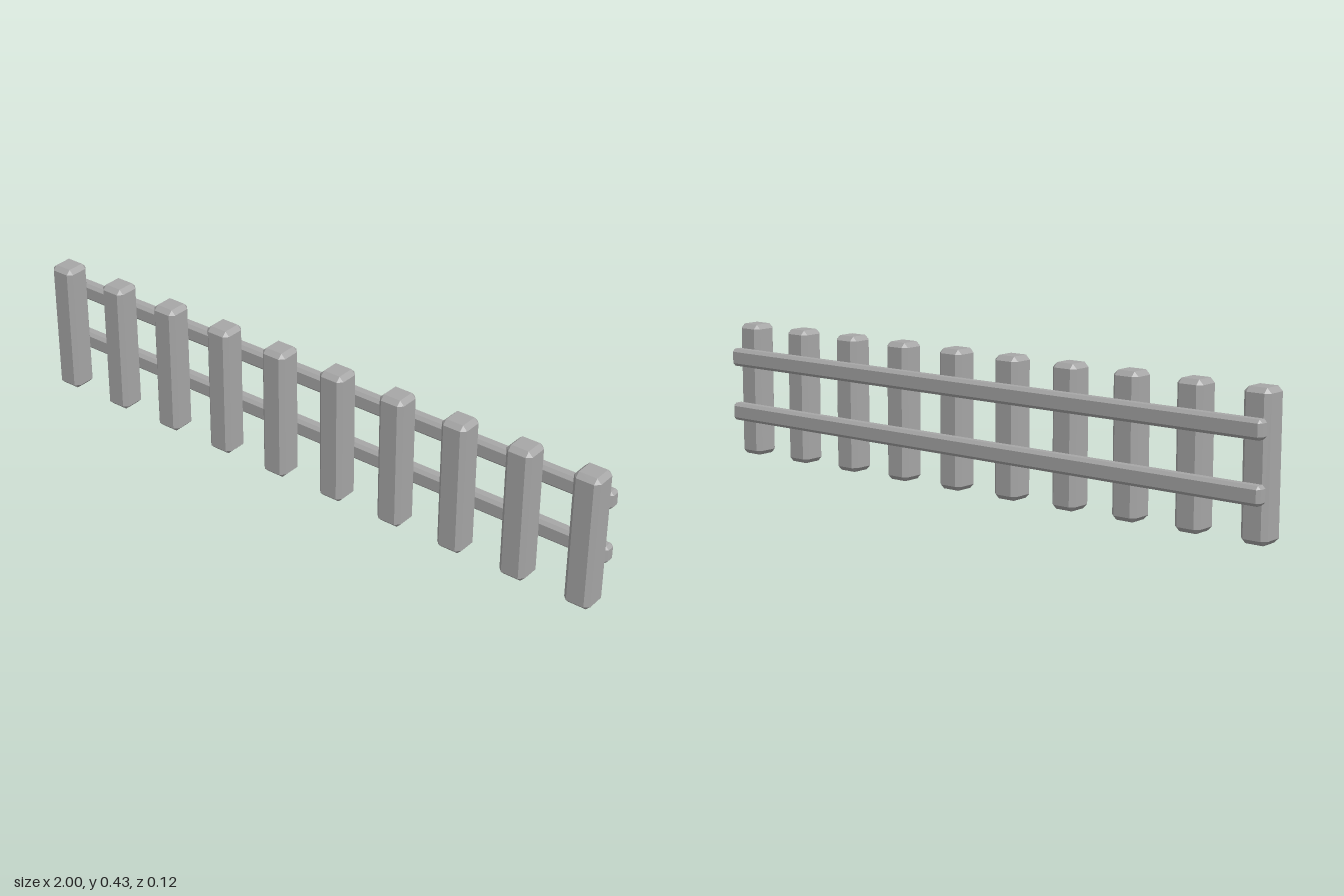
import * as THREE from 'three';
import { ConvexGeometry } from 'three/addons/geometries/ConvexGeometry.js';

// Box with every edge cut at 45 degrees: each corner becomes three points
function chamferedBox(w, h, d, c) {
  const points = [];
  const [x, y, z] = [w / 2, h / 2, d / 2];
  for (const sx of [-1, 1]) for (const sy of [-1, 1]) for (const sz of [-1, 1]) {
    points.push(
      new THREE.Vector3(sx * x, sy * (y - c), sz * (z - c)),
      new THREE.Vector3(sx * (x - c), sy * y, sz * (z - c)),
      new THREE.Vector3(sx * (x - c), sy * (y - c), sz * z)
    );
  }
  return new ConvexGeometry(points);
}

export function createModel() {
  const fence = new THREE.Group();
  fence.name = 'fence';
  const grey = new THREE.MeshStandardMaterial({ color: 0xa6a6a6 });
  grey.name = 'grey';

  // Ten evenly spaced pickets
  const count = 10, width = 0.084, height = 0.426;
  const picketGeometry = chamferedBox(width, height, 0.083, 0.014);
  for (let i = 0; i < count; i++) {
    const picket = new THREE.Mesh(picketGeometry, grey);
    picket.name = `picket${i + 1}`;
    picket.position.set((2 - width) * (i / (count - 1) - 0.5), height / 2, 0.0185);
    fence.add(picket);
  }

  // Two long rails set slightly into the backs of the pickets
  const railGeometry = chamferedBox(2, 0.056, 0.041, 0.0095);
  for (const [name, y] of [['lowerRail', 0.143], ['upperRail', 0.32]]) {
    const rail = new THREE.Mesh(railGeometry, grey);
    rail.name = name;
    rail.position.set(0, y, -0.039);
    fence.add(rail);
  }
  return fence;
}
